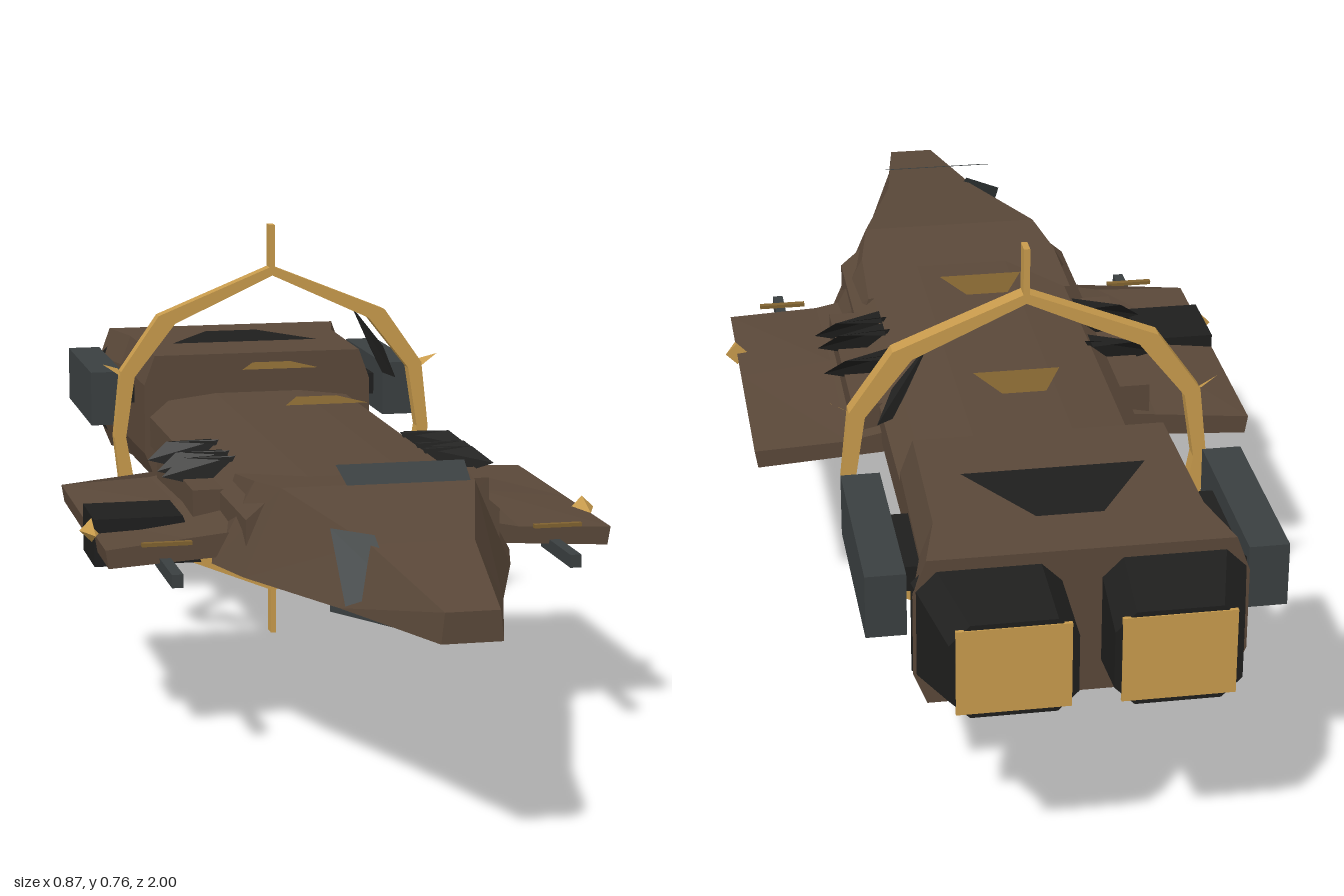
import * as THREE from 'three';

const mat = (color) => new THREE.MeshStandardMaterial({ color, flatShading: true, side: THREE.DoubleSide });

export function createModel() {
  const group = new THREE.Group();
  group.name = 'spaceship';
  const brown = mat(0x5a4839), dark = mat(0x1e1e1d), grey = mat(0x3a3f40), gold = mat(0xc89b4c), bronze = mat(0x80622f);

  const add = (name, geo, material, x = 0, y = 0, z = 0) => {
    const m = new THREE.Mesh(geo, material);
    m.name = name;
    m.position.set(x, y, z);
    group.add(m);
    return m;
  };
  // box given by its extents
  const box = (name, material, x0, x1, y0, y1, z0, z1) =>
    add(name, new THREE.BoxGeometry(x1 - x0, y1 - y0, z1 - z0), material, (x0 + x1) / 2, (y0 + y1) / 2, (z0 + z1) / 2);

  // closed skin over sections ordered front to back; points run counterclockwise seen from the front
  function loft(sections) {
    const pos = [];
    const tri = (...pts) => pts.forEach((p) => pos.push(...p));
    const n = sections[0].length;
    for (let i = 0; i < sections.length - 1; i++) {
      for (let j = 0; j < n; j++) {
        const k = (j + 1) % n, s = sections[i], t = sections[i + 1];
        tri(s[j], t[j], t[k]);
        tri(s[j], t[k], s[k]);
      }
    }
    const f = sections[0], b = sections[sections.length - 1];
    for (let j = 1; j < n - 1; j++) {
      tri(f[0], f[j], f[j + 1]);
      tri(b[0], b[j + 1], b[j]);
    }
    const g = new THREE.BufferGeometry();
    g.setAttribute('position', new THREE.Float32BufferAttribute(pos, 3));
    g.computeVertexNormals();
    return g;
  }
  // symmetric section from its right half, listed bottom to top
  const mirrored = (z, half) => [
    ...half.map(([x, y]) => [x, y, z]),
    ...half.slice().reverse().map(([x, y]) => [-x, y, z]),
  ];
  // flat sheet from corners in order
  function sheet(corners) {
    const pos = [];
    for (let j = 1; j < corners.length - 1; j++) pos.push(...corners[0], ...corners[j], ...corners[j + 1]);
    const g = new THREE.BufferGeometry();
    g.setAttribute('position', new THREE.Float32BufferAttribute(pos, 3));
    g.computeVertexNormals();
    return g;
  }

  // nose wedge and main hull
  add('nose', loft([
    mirrored(1, [[0.045, 0.33], [0.04, 0.375]]),
    mirrored(0.72, [[0.125, 0.318], [0.08, 0.412]]),
    mirrored(0.45, [[0.215, 0.306], [0.155, 0.445]]),
    mirrored(0.34, [[0.245, 0.305], [0.175, 0.435]]),
    mirrored(0.2, [[0.215, 0.315], [0.18, 0.42]]),
  ]), brown);
  add('hull', loft([0.42, -0.52].map((z) =>
    mirrored(z, [[0.205, 0.335], [0.205, 0.39], [0.17, 0.42], [0.08, 0.431]]))), brown);

  // engine block, widening towards the rear
  const engine = (z, w) => mirrored(z, [[w - 0.02, 0.27], [w, 0.32], [w, 0.45], [w - 0.02, 0.505]]);
  add('engineBlock', loft([engine(-0.51, 0.215), engine(-0.77, 0.22), engine(-0.88, 0.245)]), brown);
  add('engineTopInset', sheet([[-0.14, 0.508, -0.635], [0.14, 0.508, -0.635], [0.05, 0.508, -0.78], [-0.05, 0.508, -0.78]]), dark);

  for (const s of [1, -1]) {
    // nozzle with glowing exit
    const nozzle = (z, a, b, y0, y1) => {
      const lo = Math.min(s * a, s * b), hi = Math.max(s * a, s * b);
      return [[lo, y0 + 0.03, z], [lo + 0.03, y0, z], [hi - 0.03, y0, z], [hi, y0 + 0.03, z],
        [hi, y1 - 0.03, z], [hi - 0.03, y1, z], [lo + 0.03, y1, z], [lo, y1 - 0.03, z]];
    };
    add('nozzle', loft([nozzle(-0.86, 0.03, 0.245, 0.285, 0.49), nozzle(-0.998, 0.025, 0.21, 0.315, 0.465)]), dark);
    add('nozzleExit', new THREE.BoxGeometry(0.165, 0.135, 0.006), gold, s * 0.118, 0.39, -0.997);
    // side pod and its mount
    add('sidePod', new THREE.BoxGeometry(0.06, 0.1, 0.31), grey, s * 0.28, 0.422, -0.7);
    add('podMount', new THREE.BoxGeometry(0.06, 0.04, 0.16), dark, s * 0.235, 0.42, -0.7);

    // wing slab, thin at the tip
    const wing = (z, t) => {
      const pts = [[0.17, 0.32], [0.41, 0.305], [0.415, 0.335], [0.26, 0.342 + t], [0.17, 0.36 + t]];
      const sec = pts.map(([x, y]) => [s * x, y, z]);
      return s > 0 ? sec : sec.reverse();
    };
    add('wing', loft([wing(0.345, 0), wing(0.1, 0.012), wing(-0.185, 0)]), brown);
    // gun under the wing edge with a cross bar
    box('gun', grey, s * 0.32 - 0.009, s * 0.32 + 0.009, 0.297, 0.318, 0.3, 0.46);
    box('gunBar', bronze, s * 0.32 - 0.04, s * 0.32 + 0.04, 0.342, 0.348, 0.355, 0.365);
    const tip = add('wingTipSpike', new THREE.ConeGeometry(0.02, 0.05, 4), gold, s * 0.415, 0.335, 0.215);
    tip.rotation.x = Math.PI / 2;

    // dark machinery along the wing root
    box('wingRoot', brown, s * 0.215 - 0.035, s * 0.215 + 0.035, 0.33, 0.395, -0.16, 0.2);
    for (const z of [0.1, 0.05, -0.05]) {
      add('rootFin', sheet([[s * 0.16, 0.43, z], [s * 0.25, 0.428, z - 0.01], [s * 0.285, 0.4, z + 0.005], [s * 0.19, 0.375, z + 0.01]]), dark);
      add('rootPlate', sheet([[s * 0.17, 0.428, z + 0.03], [s * 0.25, 0.428, z - 0.01], [s * 0.17, 0.428, z - 0.02]]), dark);
    }
  }
  // tank on the right wing
  add('wingTank', loft([0.22, 0.09].map((z) =>
    [[-0.415, 0.28, z], [-0.24, 0.28, z], [-0.27, 0.358, z], [-0.415, 0.358, z]])), dark);

  // large ring: angular frame cut from one plate
  const half = [[0, 0.685], [0.21, 0.6], [0.28, 0.5], [0.293, 0.38], [0.28, 0.265], [0.21, 0.165], [0, 0.08]];
  const innerHalf = [[0, 0.668], [0.18, 0.585], [0.255, 0.49], [0.272, 0.38], [0.255, 0.28], [0.18, 0.18], [0, 0.097]];
  const loop = (pts) => [...pts, ...pts.slice(1, -1).reverse().map(([x, y]) => [-x, y])].map(([x, y]) => new THREE.Vector2(x, y));
  const ring = new THREE.Shape(loop(half));
  ring.holes.push(new THREE.Path(loop(innerHalf)));
  add('ring', new THREE.ExtrudeGeometry(ring, { depth: 0.028, bevelEnabled: false }), gold, 0, 0, -0.396);
  // dark blades on the inside of the ring
  add('ringBladeLow', sheet([[-0.05, 0.127, -0.38], [0.12, 0.153, -0.38], [-0.11, 0.163, -0.385], [-0.17, 0.16, -0.385]]), dark);
  add('ringBladeSide', sheet([[-0.24, 0.29, -0.38], [-0.18, 0.19, -0.38], [-0.11, 0.163, -0.385], [-0.19, 0.21, -0.385]]), dark);
  add('ringBladeHigh', sheet([[0.15, 0.606, -0.38], [0.21, 0.53, -0.38], [0.235, 0.47, -0.385], [0.21, 0.48, -0.385], [0.19, 0.52, -0.385]]), dark);
  // ring spikes
  box('topSpike', gold, -0.005, 0.005, 0.675, 0.76, -0.396, -0.368);
  box('bottomSpike', gold, -0.005, 0.005, 0, 0.09, -0.396, -0.368);
  for (const s of [1, -1]) {
    add('sideSpike', sheet([[s * 0.27, 0.485, -0.37], [s * 0.282, 0.503, -0.395], [s * 0.312, 0.514, -0.378]]), gold);
  }

  // floating dorsal plates
  for (const z of [0, -0.38]) {
    add('dorsalPlate', sheet([[-0.035, 0.508, z], [0.035, 0.508, z], [0.07, 0.508, z + 0.08], [-0.07, 0.508, z + 0.08]]), bronze);
  }
  add('windscreen', sheet([[-0.1, 0.505, 0.585], [0.1, 0.505, 0.585], [0.095, 0.484, 0.64], [-0.095, 0.484, 0.64]]), grey);
  // nose panels
  add('noseSidePanel', sheet([[-0.125, 0.425, 0.66], [-0.072, 0.425, 0.72], [-0.06, 0.36, 0.8], [-0.125, 0.33, 0.76]]), grey);
  add('chinPanel', loft([
    mirrored(0.83, [[0.06, 0.31], [0.06, 0.33]]),
    mirrored(0.66, [[0.125, 0.298], [0.125, 0.325]]),
  ]), grey);
  // belly hatch
  add('bellyBase', loft([
    mirrored(0.3, [[0.05, 0.268], [0.09, 0.335]]),
    mirrored(0.14, [[0.11, 0.266], [0.11, 0.335]]),
    mirrored(0.02, [[0.05, 0.285], [0.07, 0.335]]),
  ]), dark);
  return group;
}
